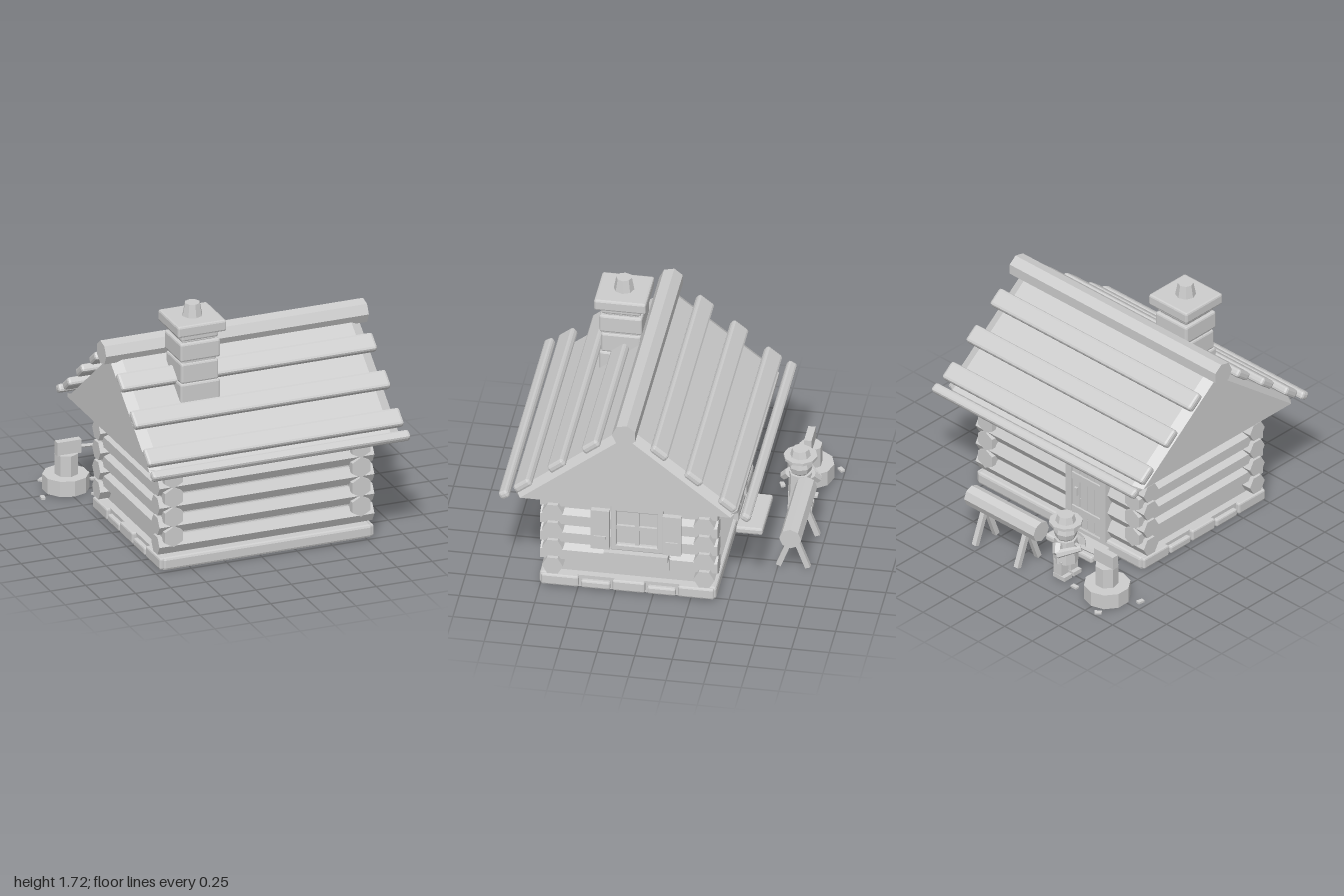
import * as THREE from 'three';
import { RoundedBoxGeometry } from 'three/addons/geometries/RoundedBoxGeometry.js';

const grey = new THREE.MeshStandardMaterial({ color: 0xcccccc });
grey.name = 'plain grey';

// faceted mesh: every face keeps its own normal
function part(parent, name, geometry) {
  const g = geometry.index ? geometry.toNonIndexed() : geometry;
  g.computeVertexNormals();
  const mesh = new THREE.Mesh(g, grey);
  mesh.name = name;
  parent.add(mesh);
  return mesh;
}

// box from ranges, chamfered when bevel > 0
function block(parent, name, [x0, x1], [y0, y1], [z0, z1], bevel = 0) {
  const s = [x1 - x0, y1 - y0, z1 - z0];
  const g = bevel ? new RoundedBoxGeometry(...s, 1, bevel) : new THREE.BoxGeometry(...s);
  const m = part(parent, name, g);
  m.position.set((x0 + x1) / 2, (y0 + y1) / 2, (z0 + z1) / 2);
  return m;
}

// straight prism between two points
function rod(parent, name, a, b, r0, r1 = r0, sides = 6) {
  const p = new THREE.Vector3(...a), q = new THREE.Vector3(...b);
  const d = q.clone().sub(p);
  const m = part(parent, name, new THREE.CylinderGeometry(r1, r0, d.length(), sides));
  m.position.copy(p).add(q).multiplyScalar(0.5);
  m.quaternion.setFromUnitVectors(new THREE.Vector3(0, 1, 0), d.normalize());
  return m;
}

function group(parent, name) {
  const g = new THREE.Group();
  g.name = name;
  parent.add(g);
  return g;
}

const RIDGE_Z = 0.16;

function buildWalls(root) {
  const g = group(root, 'walls');
  block(g, 'wallCore', [-0.64, 0.72], [0.02, 0.78], [-0.36, 0.68]);
  // interleaved hexagonal logs
  for (const y of [0.176, 0.316, 0.455, 0.594, 0.735])
    for (const z of [-0.342, 0.665]) rod(g, 'longLog', [-0.72, y, z], [0.805, y, z], 0.07);
  for (const y of [0.247, 0.385, 0.524, 0.664])
    for (const x of [-0.625, 0.705]) rod(g, 'crossLog', [x, y, -0.425], [x, y, 0.752], 0.073);
  // foundation beams and stones
  block(g, 'foundation', [-0.69, 0.77], [0.012, 0.1], [-0.4, 0.73]);
  for (const z of [[0.65, 0.755], [-0.42, -0.32]])
    block(g, 'foundationBeam', [-0.7, 0.785], [0.015, 0.105], z, 0.018);
  const cuts = [-0.415, -0.16, 0.045, 0.275, 0.485, 0.75];
  for (let i = 0; i < 5; i++) {
    const top = i % 2 ? 0.075 : 0.1;
    for (const x of [[0.7, 0.8], [-0.72, -0.62]])
      block(g, 'foundationStone', x, [0.02, top], [cuts[i] + 0.008, cuts[i + 1] - 0.008], 0.012);
  }
}

function buildRoof(root) {
  const g = group(root, 'roof');
  // gabled body with chamfered ends
  const s = new THREE.Shape();
  s.moveTo(-0.735, 0.765);
  s.lineTo(0.735, 0.765);
  s.lineTo(0.735, 0.79);
  s.lineTo(0, 1.37);
  s.lineTo(-0.735, 0.79);
  const body = new THREE.ExtrudeGeometry(s, {
    depth: 1.627, bevelEnabled: true, bevelThickness: 0.07,
    bevelSize: 0.035, bevelOffset: -0.035, bevelSegments: 1,
  });
  body.rotateY(Math.PI / 2);
  part(g, 'roofBody', body).position.set(-0.77, 0, RIDGE_Z);
  rod(g, 'ridgeLog', [-0.893, 1.37, RIDGE_Z], [0.971, 1.37, RIDGE_Z], 0.082, 0.082, 7);
  // planks on both slopes, plus the eave rail
  for (const side of [1, -1]) {
    for (const [dz, y] of [[0.227, 1.235], [0.455, 1.059], [0.68, 0.877]]) {
      const p = part(g, 'roofPlank', new RoundedBoxGeometry(1.815, 0.058, 0.13, 1, 0.018));
      p.position.set(0.042, y, RIDGE_Z + side * dz);
      p.rotation.x = side * 0.665;
    }
    const e = part(g, 'eaveRail', new RoundedBoxGeometry(1.83, 0.056, 0.066, 1, 0.018));
    e.position.set(0.042, 0.797, RIDGE_Z + side * 0.802);
    e.rotation.x = side * 0.5;
  }
}

function buildChimney(root) {
  const g = group(root, 'chimney');
  const cx = -0.34, cz = 0.382;
  const courses = [
    [0.142, 0.95, 1.215], [0.133, 1.21, 1.355], [0.122, 1.34, 1.385],
    [0.142, 1.37, 1.5], [0.118, 1.49, 1.52], [0.132, 1.51, 1.56], [0.173, 1.558, 1.638],
  ];
  for (const [h, y0, y1] of courses)
    block(g, 'chimneyCourse', [cx - h, cx + h], [y0, y1], [cz - h, cz + h], 0.014);
  rod(g, 'chimneyPot', [cx, 1.63, cz], [cx, 1.727, cz], 0.07, 0.052, 8);
}

function buildWindow(root) {
  const g = group(root, 'window');
  // frame border, glass and mullions
  const X = [0.74, 0.81];
  block(g, 'frameTop', X, [0.655, 0.705], [-0.072, 0.28], 0.008);
  block(g, 'frameBottom', X, [0.35, 0.395], [-0.072, 0.28], 0.008);
  for (const z of [[-0.072, -0.03], [0.238, 0.28]]) block(g, 'frameSide', X, [0.35, 0.705], z, 0.008);
  block(g, 'glass', [0.74, 0.78], [0.38, 0.67], [-0.05, 0.25]);
  block(g, 'mullion', [0.77, 0.8], [0.39, 0.66], [0.09, 0.118]);
  block(g, 'crossBar', [0.77, 0.8], [0.512, 0.54], [-0.035, 0.243]);
  block(g, 'sill', [0.76, 0.833], [0.295, 0.34], [-0.105, 0.32]);
  block(g, 'sillBoard', [0.74, 0.785], [0.205, 0.295], [-0.11, 0.25]);
  // shutters with latches
  for (const z of [[0.28, 0.402], [-0.196, -0.074]]) {
    const m = (z[0] + z[1]) / 2;
    block(g, 'shutter', [0.812, 0.85], [0.375, 0.675], z);
    block(g, 'shutterLatch', [0.85, 0.86], [0.46, 0.48], [m - 0.04, m + 0.04]);
  }
}

function buildDoor(root) {
  const g = group(root, 'door');
  const cx = -0.21;
  for (let i = 0; i < 4; i++) {
    const x = cx - 0.13 + i * 0.065;
    block(g, 'doorPlank', [x + 0.003, x + 0.062], [0.09, 0.62], [-0.415, -0.38]);
  }
  for (const s of [-1, 1])
    block(g, 'doorPost', [cx + s * 0.155 - 0.025, cx + s * 0.155 + 0.025], [0.09, 0.67], [-0.43, -0.37]);
  block(g, 'doorLintel', [cx - 0.18, cx + 0.18], [0.62, 0.68], [-0.43, -0.37]);
  for (const y of [0.2, 0.46]) block(g, 'doorBrace', [cx - 0.13, cx + 0.13], [y, y + 0.05], [-0.428, -0.41]);
  block(g, 'doorHandle', [cx + 0.08, cx + 0.105], [0.34, 0.4], [-0.432, -0.41]);
  block(g, 'doorStep', [cx - 0.21, cx + 0.21], [0.015, 0.065], [-0.595, -0.41], 0.014);
}

function buildSawhorse(root) {
  const g = group(root, 'sawhorse');
  rod(g, 'restingLog', [-0.21, 0.3, -0.85], [0.42, 0.3, -0.85], 0.073, 0.073, 8);
  for (const x of [-0.086, 0.294])
    for (const s of [-1, 1]) {
      const leg = part(g, 'sawhorseLeg', new THREE.BoxGeometry(0.035, 0.27, 0.035));
      leg.position.set(x, 0.136, -0.85 + s * 0.05);
      leg.rotation.x = -s * 0.36;
    }
}

function buildWoodcutter(root) {
  const g = group(root, 'woodcutter');
  const cx = -0.37, cz = -0.785;
  for (const s of [-1, 1]) {
    const z = cz + s * 0.045;
    block(g, 'leg', [cx - 0.035, cx + 0.035], [0.03, 0.15], [z - 0.033, z + 0.033]);
    block(g, 'boot', [cx - 0.065, cx + 0.04], [0.015, 0.045], [z - 0.036, z + 0.036]);
    // bent arm reaching to the axe
    const elbow = [cx - 0.03, 0.235, cz + s * 0.115];
    rod(g, 'upperArm', [cx, 0.285, cz + s * 0.075], elbow, 0.034, 0.03);
    rod(g, 'forearm', elbow, [-0.52, 0.285, cz + s * 0.008], 0.03, 0.02);
  }
  rod(g, 'torso', [cx, 0.13, cz], [cx, 0.3, cz], 0.085, 0.075, 8);
  const head = part(g, 'head', new THREE.SphereGeometry(0.08, 8, 6));
  head.position.set(cx, 0.355, cz);
  rod(g, 'hatBrim', [cx, 0.415, cz], [cx, 0.434, cz], 0.112, 0.112, 10);
  rod(g, 'hatCrown', [cx, 0.43, cz], [cx, 0.482, cz], 0.07, 0.056, 8);
  // axe
  rod(g, 'axeHandle', [-0.46, 0.285, cz], [-0.68, 0.3, cz], 0.013);
  block(g, 'axeHead', [-0.82, -0.65], [0.26, 0.355], [cz - 0.025, cz + 0.025]);
}

function buildChoppingBlock(root) {
  const g = group(root, 'choppingBlock');
  rod(g, 'stump', [-0.75, 0.012, -0.79], [-0.75, 0.12, -0.79], 0.155, 0.155, 10);
  rod(g, 'standingLog', [-0.745, 0.12, -0.79], [-0.745, 0.265, -0.79], 0.078, 0.078, 7);
  for (const [x, z, turn] of [[-0.845, -0.975, 0.7], [-0.955, -0.69, 1.4], [-0.525, -0.86, 0], [-0.61, -0.625, 0.4]]) {
    const chip = part(g, 'woodChip', new THREE.BoxGeometry(0.048, 0.014, 0.03));
    chip.position.set(x, 0.018, z);
    chip.rotation.y = turn;
  }
}

export function createModel() {
  const root = new THREE.Group();
  root.name = 'logCabin';
  for (const build of [buildWalls, buildRoof, buildChimney, buildWindow, buildDoor,
    buildSawhorse, buildWoodcutter, buildChoppingBlock]) build(root);
  return root;
}
